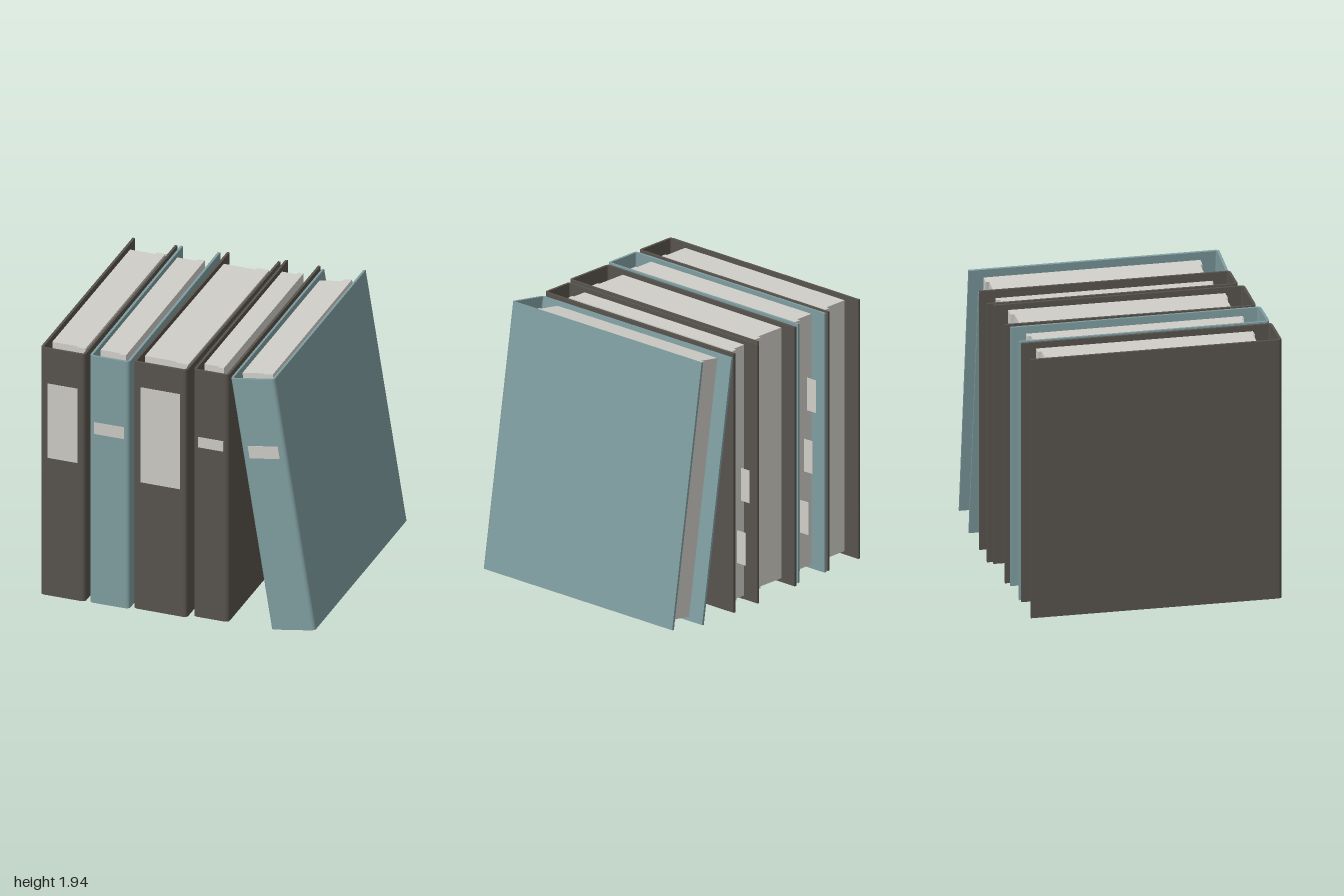
import * as THREE from 'three';

const HEIGHT = 1.91, DEPTH = 1.77, WALL = 0.018;
const mat = (color) => new THREE.MeshStandardMaterial({ color });
const dark = mat(0x57524c), teal = mat(0x7f9da0), paper = mat(0xcfcec8), labelMat = mat(0xcbc9c3);

// Box given by its minimum and maximum corners
function block(name, material, [x0, y0, z0], [x1, y1, z1]) {
  const mesh = new THREE.Mesh(new THREE.BoxGeometry(x1 - x0, y1 - y0, z1 - z0), material);
  mesh.position.set((x0 + x1) / 2, (y0 + y1) / 2, (z0 + z1) / 2);
  mesh.name = name;
  return mesh;
}

// U-shaped cover: two boards joined by a spine with rounded corners
function coverGeometry(w) {
  const r = 0.028, ri = r - WALL, s = new THREE.Shape();
  s.moveTo(0, DEPTH);
  s.lineTo(0, r);
  s.absarc(r, r, r, Math.PI, Math.PI * 1.5, false);
  s.lineTo(w - r, 0);
  s.absarc(w - r, r, r, -Math.PI / 2, 0, false);
  s.lineTo(w, DEPTH);
  s.lineTo(w - WALL, DEPTH);
  s.lineTo(w - WALL, r);
  s.absarc(w - r, r, ri, 0, -Math.PI / 2, true);
  s.lineTo(r, WALL);
  s.absarc(r, r, ri, Math.PI * 1.5, Math.PI, true);
  s.lineTo(WALL, DEPTH);
  s.closePath();
  const g = new THREE.ExtrudeGeometry(s, { depth: HEIGHT, bevelEnabled: false, curveSegments: 5 });
  return g.rotateX(-Math.PI / 2);
}

// Local origin is the bottom front corner of the spine on the -x side
function binder({ name, color, w, pos, yaw = 0, lean = 0, sheets, label, tabs = [] }) {
  const g = new THREE.Group();
  g.name = name;
  const cover = new THREE.Mesh(coverGeometry(w), color);
  cover.name = 'cover';
  g.add(cover);

  // Main stack of pages and a slightly deeper second stack
  const [a, b, c] = sheets;
  g.add(block('pages', paper, [a, 0.03, -1.65], [b, 1.88, -0.16]));
  g.add(block('backPages', paper, [b, 0.03, -1.675], [c, 1.88, -0.145]));

  // Spine label
  const [x0, x1, y0, y1] = label;
  g.add(block('spineLabel', labelMat, [x0, y0, -0.004], [x1, y1, 0.003]));

  // Index tabs sticking out of the pages at the back
  tabs.forEach(([x, y]) =>
    g.add(block('indexTab', paper, [x - 0.002, y - 0.12, -1.73], [x + 0.002, y + 0.12, -1.64])));

  g.position.set(...pos);
  g.rotation.set(0, yaw, lean);
  return g;
}

export function createModel() {
  const model = new THREE.Group();
  model.name = 'binderRow';
  const binders = [
    { name: 'wideDarkBinder', color: dark, w: 0.33, pos: [-1, 0, 0.915], yaw: -0.003,
      sheets: [0.027, 0.213, 0.278], label: [0.055, 0.275, 1.065, 1.64] },
    { name: 'tealBinder', color: teal, w: 0.293, pos: [-0.64, 0, 0.91], yaw: 0.002,
      sheets: [0.022, 0.165, 0.215], label: [0.035, 0.255, 1.31, 1.4],
      tabs: [[0.062, 1.3], [0.097, 0.86], [0.137, 0.42]] },
    { name: 'widestDarkBinder', color: dark, w: 0.395, pos: [-0.325, 0, 0.885], yaw: -0.009,
      sheets: [0.022, 0.258, 0.348], label: [0.055, 0.345, 0.985, 1.72] },
    { name: 'narrowDarkBinder', color: dark, w: 0.26, pos: [0.103, 0, 0.852], yaw: -0.002,
      sheets: [0.022, 0.13, 0.17], label: [0.037, 0.222, 1.315, 1.395],
      tabs: [[0.055, 0.86], [0.092, 0.41]] },
    { name: 'leaningTealBinder', color: teal, w: 0.328, pos: [0.675, 0, 0.85], lean: 0.158,
      sheets: [0.025, 0.192, 0.258], label: [0.05, 0.275, 1.306, 1.4] },
  ];
  binders.forEach((b) => model.add(binder(b)));
  return model;
}
